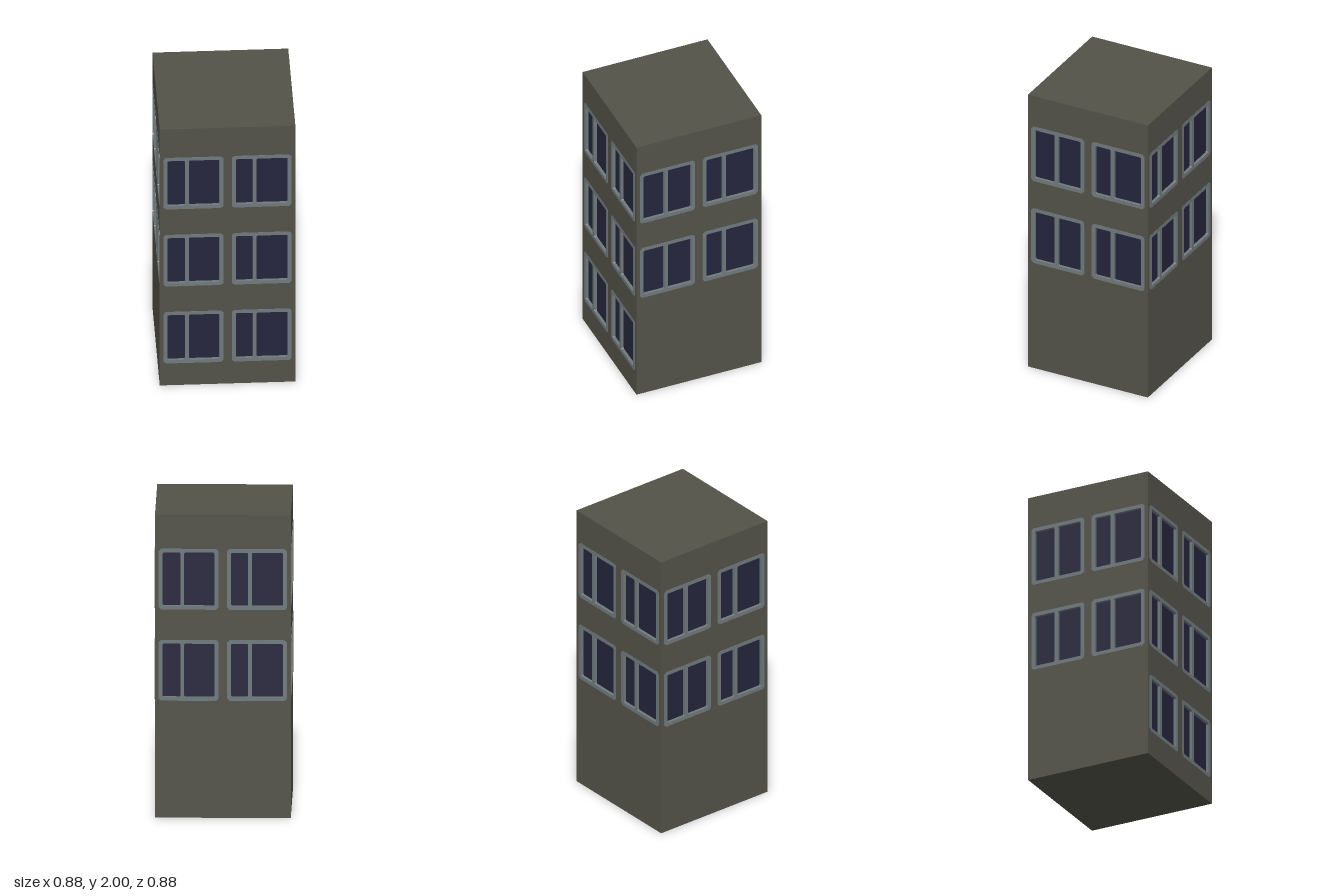
import * as THREE from 'three';

const H = 2, R = 0.437, DEPTH = 0.02;
const ROWS = [1.576, 0.974, 0.372];
const WIN = { w: 0.386, h: 0.402, cut: 0.016 };
const PANE_H = 0.352;

function material(name, color, extra = {}) {
  const m = new THREE.MeshStandardMaterial({ color, ...extra });
  m.name = name;
  return m;
}

// Rectangle with chamfered corners, as points
function chamfered(x0, x1, y0, y1, c) {
  return [
    [x0 + c, y0], [x1 - c, y0], [x1, y0 + c], [x1, y1 - c],
    [x1 - c, y1], [x0 + c, y1], [x0, y1 - c], [x0, y0 + c],
  ].map(([x, y]) => new THREE.Vector2(x, y));
}

function extrude(shape, depth) {
  return new THREE.ExtrudeGeometry(shape, { depth, bevelEnabled: false });
}

export function createModel() {
  const wall = material('wall concrete', 0x535249);
  const frame = material('window frame grey', 0x6f797c);
  const glass = material('dark blue glass', 0x25253d);

  const model = new THREE.Group();
  model.name = 'building';

  const add = (parent, geometry, mat, name) => {
    const mesh = new THREE.Mesh(geometry, mat);
    mesh.name = name;
    parent.add(mesh);
    return mesh;
  };

  // Solid core behind the four wall slabs
  const inner = R - DEPTH;
  add(model, new THREE.BoxGeometry(inner * 2, H, inner * 2), wall, 'core').position.y = H / 2;

  // Window seen from outside: split is the mullion centre, x the window centre
  function createWindow(x, y, split) {
    const g = new THREE.Group();
    g.name = 'window';
    const outline = new THREE.Shape(chamfered(
      x - WIN.w / 2, x + WIN.w / 2, y - WIN.h / 2, y + WIN.h / 2, WIN.cut));
    const edge = 0.167;
    for (const [a, b] of [[x - edge, split - 0.012], [split + 0.012, x + edge]]) {
      outline.holes.push(new THREE.Path(
        chamfered(a, b, y - PANE_H / 2, y + PANE_H / 2, 0.006).reverse()));
    }
    add(g, extrude(outline, DEPTH + 0.002), frame, 'windowFrame');
    const pane = add(g, new THREE.PlaneGeometry(edge * 2 + 0.01, PANE_H + 0.01), glass, 'windowGlass');
    pane.position.set(x, y, 0.002);
    return g;
  }

  // Wall slab with window openings, facing +z before it is turned
  function createFacade(name, halfWidth, rows, splits, angle) {
    const g = new THREE.Group();
    g.name = name;
    const slab = new THREE.Shape(chamfered(-halfWidth, halfWidth, 0, H, 0)
      .filter((p, i) => i % 2 === 0));
    for (const y of rows) {
      [-0.22, 0.22].forEach((x, i) => {
        slab.holes.push(new THREE.Path(chamfered(
          x - WIN.w / 2, x + WIN.w / 2, y - WIN.h / 2, y + WIN.h / 2, WIN.cut).reverse()));
        g.add(createWindow(x, y, splits[i]));
      });
    }
    add(g, extrude(slab, DEPTH), wall, 'wallSlab');
    g.children.forEach((c) => { c.position.z = inner; });
    g.rotation.y = angle;
    model.add(g);
  }

  const upperRows = ROWS.slice(0, 2);
  const wide = [-0.262, 0.175], side = [-0.23, 0.178];
  createFacade('frontWall', R, ROWS, wide, 0);
  createFacade('backWall', R, upperRows, wide, Math.PI);
  createFacade('leftWall', inner, upperRows, side, Math.PI / 2);
  createFacade('rightWall', inner, upperRows, side, -Math.PI / 2);

  return model;
}
